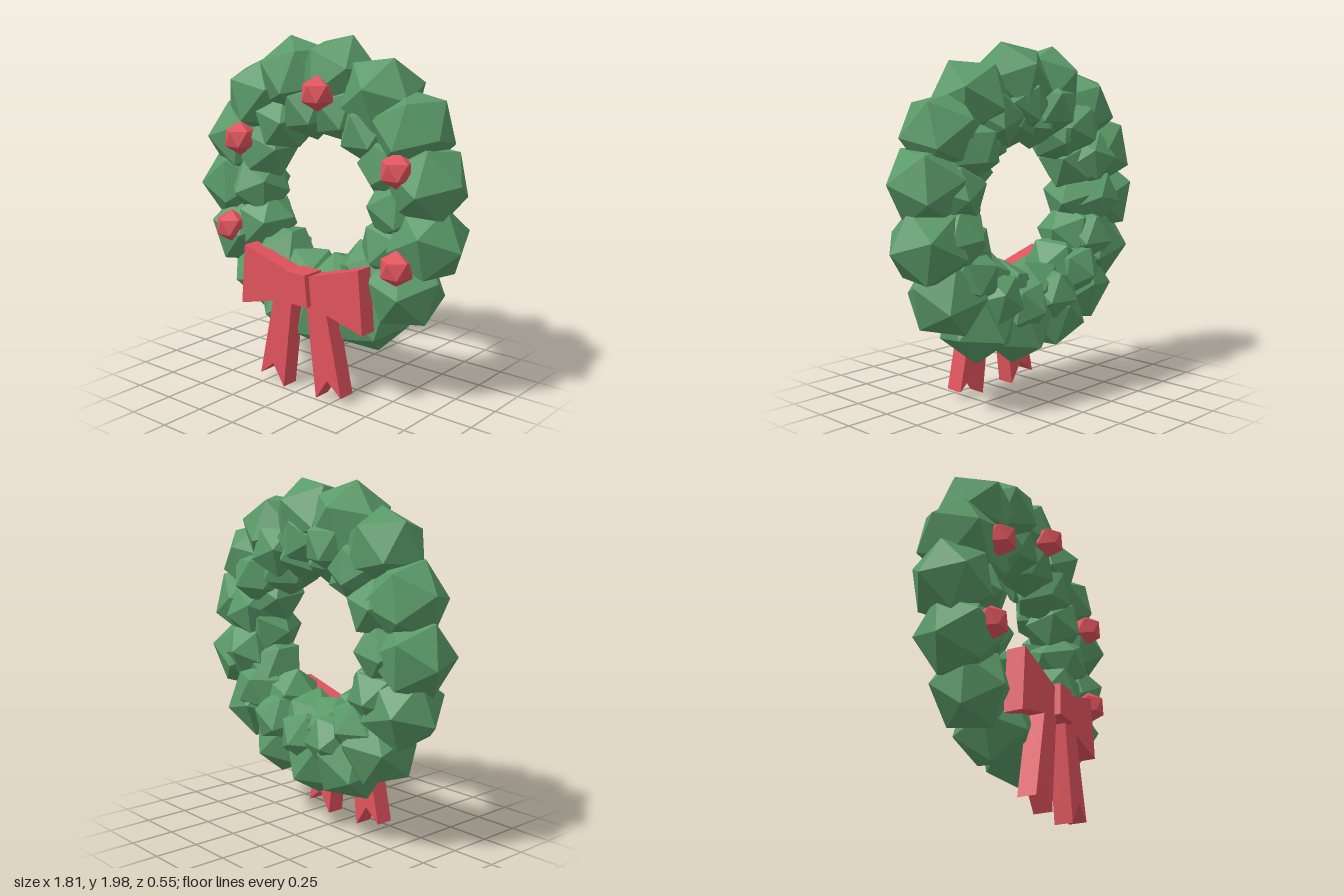
import * as THREE from 'three';

export function createModel() {
  const model = new THREE.Group();
  model.name = 'wreath';
  const green = new THREE.MeshStandardMaterial({ color: 0x5a9a68 });
  green.name = 'leaf green';
  const red = new THREE.MeshStandardMaterial({ color: 0xe0535c });
  red.name = 'ribbon red';

  let seed = 11;
  const rand = () => (seed = (seed * 16807) % 2147483647) / 2147483647;
  const wobble = (amount) => (rand() - 0.5) * 2 * amount;

  // Faceted lump with one corner pointing straight up
  const lump = new THREE.IcosahedronGeometry(1, 0).rotateX(-Math.atan((1 + Math.sqrt(5)) / 2));

  // Foliage clump with a corner leaning away from the wreath's centre
  const CENTRE_Y = 1.1;
  function addClump(group, x, y, z, size, lean) {
    const clump = new THREE.Mesh(lump, green);
    clump.name = 'leafClump';
    clump.position.set(x, y, z);
    clump.rotation.set(wobble(lean), rand() * Math.PI * 2, Math.atan2(y - CENTRE_Y, x) - Math.PI / 2 + wobble(lean), 'ZXY');
    clump.scale.setScalar(size);
    group.add(clump);
  }
  function addGroup(name) {
    const group = new THREE.Group();
    group.name = name;
    model.add(group);
    return group;
  }

  // Large outer clumps, counterclockwise from the top
  const outer = addGroup('outerFoliage');
  const outerSpots = [
    [0.08, 1.77], [-0.2, 1.75], [-0.47, 1.62], [-0.63, 1.37], [-0.68, 1.09],
    [-0.61, 0.81], [-0.45, 0.58], [-0.23, 0.45], [0.03, 0.42], [0.32, 0.48],
    [0.55, 0.66], [0.68, 0.94], [0.68, 1.25], [0.58, 1.51], [0.38, 1.68],
  ];
  for (const [x, y] of outerSpots) addClump(outer, x, y, -0.03 + wobble(0.01), 0.232, 0.3);

  // Smaller clumps round the hole and across the back
  function ring(name, count, radius, size, z, start) {
    const group = addGroup(name);
    for (let i = 0; i < count; i++) {
      const a = start + (i / count) * Math.PI * 2;
      addClump(group, Math.cos(a) * radius + 0.01, CENTRE_Y + Math.sin(a) * radius, z + wobble(0.01), size, 0.6);
    }
  }
  ring('innerFoliage', 14, 0.5, 0.19, -0.02, 0);
  ring('backFoliage', 15, 0.56, 0.17, -0.105, 0.2);

  // Berries
  const berries = [[0.08, 1.685], [-0.5, 1.39], [0.605, 1.33], [-0.585, 0.86], [0.61, 0.82]];
  for (const [x, y] of berries) {
    const berry = new THREE.Mesh(lump, red);
    berry.name = 'berry';
    berry.position.set(x, y, 0.145);
    berry.scale.setScalar(0.098);
    model.add(berry);
  }

  // Ribbon bow: flat outlines extruded forward
  const bow = addGroup('bow');
  function ribbon(name, points, depth) {
    const shape = new THREE.Shape(points.map(([x, y]) => new THREE.Vector2(x, y)));
    const mesh = new THREE.Mesh(new THREE.ExtrudeGeometry(shape, { depth, bevelEnabled: false }), red);
    mesh.name = name;
    mesh.position.z = 0.13;
    bow.add(mesh);
  }
  for (const s of [1, -1]) {
    const side = s > 0 ? 'left' : 'right';
    const place = (pts) => pts.map(([x, y]) => [0.02 + s * x, y]);
    ribbon(side + 'Loop', place([[0.05, 0.69], [0.41, 0.795], [0.44, 0.44], [0.05, 0.54]]), 0.106);
    ribbon(side + 'Tail', place([[0.052, 0.55], [0.121, 0], [0.2, 0.122], [0.298, 0.043], [0.185, 0.55]]), 0.105);
  }
  ribbon('knot', [[-0.048, 0.71], [0.09, 0.71], [0.108, 0.53], [-0.06, 0.53]], 0.14);

  return model;
}
